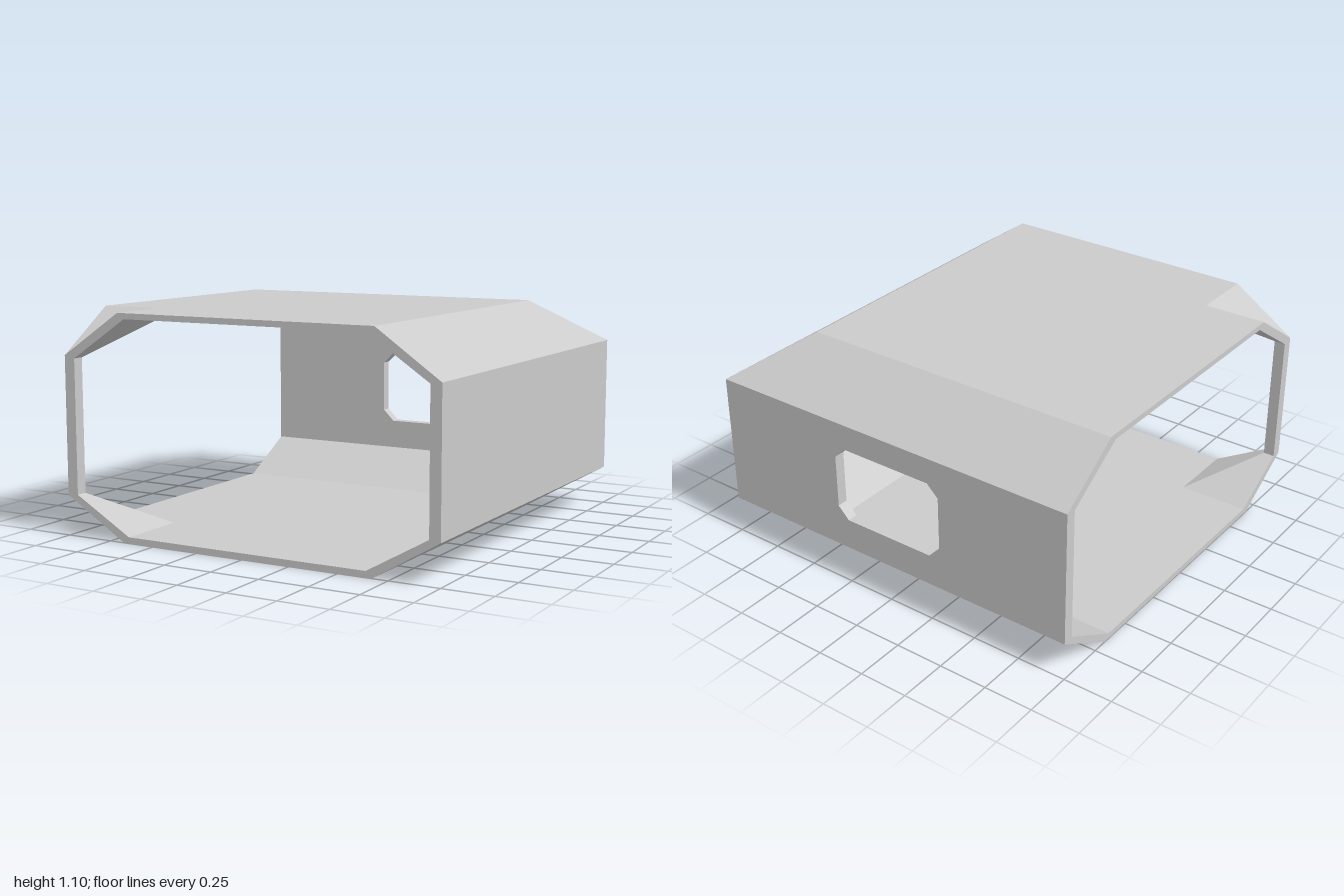
import * as THREE from 'three';

const V = (x, y, z) => new THREE.Vector3(x, y, z);

// Octagonal duct sections, counter-clockwise: [offset across the duct, height]
const OUTER = [[1, 0.195], [1, 0.875], [0.68, 1.095], [-0.68, 1.095], [-1, 0.88], [-1, 0.2], [-0.67, 0], [0.67, 0]];
const INNER = [[0.945, 0.203], [0.945, 0.867], [0.643, 1.067], [-0.643, 1.067], [-0.943, 0.867], [-0.943, 0.205], [-0.64, 0.03], [0.64, 0.03]];
const WALL = 0; // section edge that forms the outer side walls

// Window outline with cut corners, counter-clockwise
const WINDOW = [[-0.245, 0.355], [0.245, 0.355], [0.305, 0.415], [0.305, 0.687], [0.245, 0.745], [-0.245, 0.745], [-0.305, 0.687], [-0.305, 0.415]];

// Flat-sided geometry from quads, dropping collapsed triangles
function quadGeometry(quads) {
  const points = [];
  for (const [a, b, c, d] of quads) {
    for (const t of [[a, b, c], [a, c, d]]) {
      if (new THREE.Triangle(...t).getArea() > 1e-6) points.push(...t);
    }
  }
  const geometry = new THREE.BufferGeometry().setFromPoints(points);
  geometry.computeVertexNormals();
  return geometry;
}

// Sweep of a section round the mitred right-angle bend: front end, mitre, side end
function rings(section) {
  return [
    section.map(([u, y]) => V(u, y, 1)),
    section.map(([u, y]) => V(u, y, -u)),
    section.map(([u, y]) => V(-1, y, -u)),
  ];
}

function skinQuads(section, inward) {
  const r = rings(section);
  const quads = [];
  for (let leg = 0; leg < 2; leg++) {
    for (let i = 0; i < 8; i++) {
      if (leg === 1 && i === WALL) continue; // the windowed wall is made apart
      const j = (i + 1) % 8;
      const q = [r[leg][i], r[leg + 1][i], r[leg + 1][j], r[leg][j]];
      quads.push(inward ? q.reverse() : q);
    }
  }
  return quads;
}

// Flat rims joining outer and inner skins at the two open ends
function rimQuads() {
  const o = rings(OUTER), n = rings(INNER);
  const quads = [];
  for (let i = 0; i < 8; i++) {
    const j = (i + 1) % 8;
    quads.push([o[0][i], o[0][j], n[0][j], n[0][i]]);
    quads.push([o[2][i], n[2][i], n[2][j], o[2][j]]);
  }
  return quads;
}

// Rectangle with the window cut out, facing +z
function wallFace(x0, x1, y0, y1) {
  const shape = new THREE.Shape([[x0, y0], [x1, y0], [x1, y1], [x0, y1]].map((p) => new THREE.Vector2(...p)));
  shape.holes.push(new THREE.Path(WINDOW.map((p) => new THREE.Vector2(...p))));
  return new THREE.ShapeGeometry(shape);
}

export function createModel() {
  const group = new THREE.Group();
  group.name = 'cornerDuct';
  const material = new THREE.MeshStandardMaterial({ color: 0xcccccc, flatShading: true });
  const add = (name, geometry, parent = group) => {
    const mesh = new THREE.Mesh(geometry, material);
    mesh.name = name;
    parent.add(mesh);
  };

  add('outerShell', quadGeometry(skinQuads(OUTER, false)));
  add('innerShell', quadGeometry(skinQuads(INNER, true)));
  add('openingRims', quadGeometry(rimQuads()));

  // Back wall with its window
  const backWall = new THREE.Group();
  backWall.name = 'backWall';
  group.add(backWall);
  const zOut = -1, zIn = -INNER[0][0];
  add('backWallOutside', wallFace(-1, 1, OUTER[0][1], OUTER[1][1]).rotateY(Math.PI).translate(0, 0, zOut), backWall);
  add('backWallInside', wallFace(-1, INNER[0][0], INNER[0][1], INNER[1][1]).translate(0, 0, zIn), backWall);
  add('windowReveal', quadGeometry(WINDOW.map(([ax, ay], i) => {
    const [bx, by] = WINDOW[(i + 1) % WINDOW.length];
    return [V(ax, ay, zIn), V(bx, by, zIn), V(bx, by, zOut), V(ax, ay, zOut)];
  })), backWall);

  return group;
}
